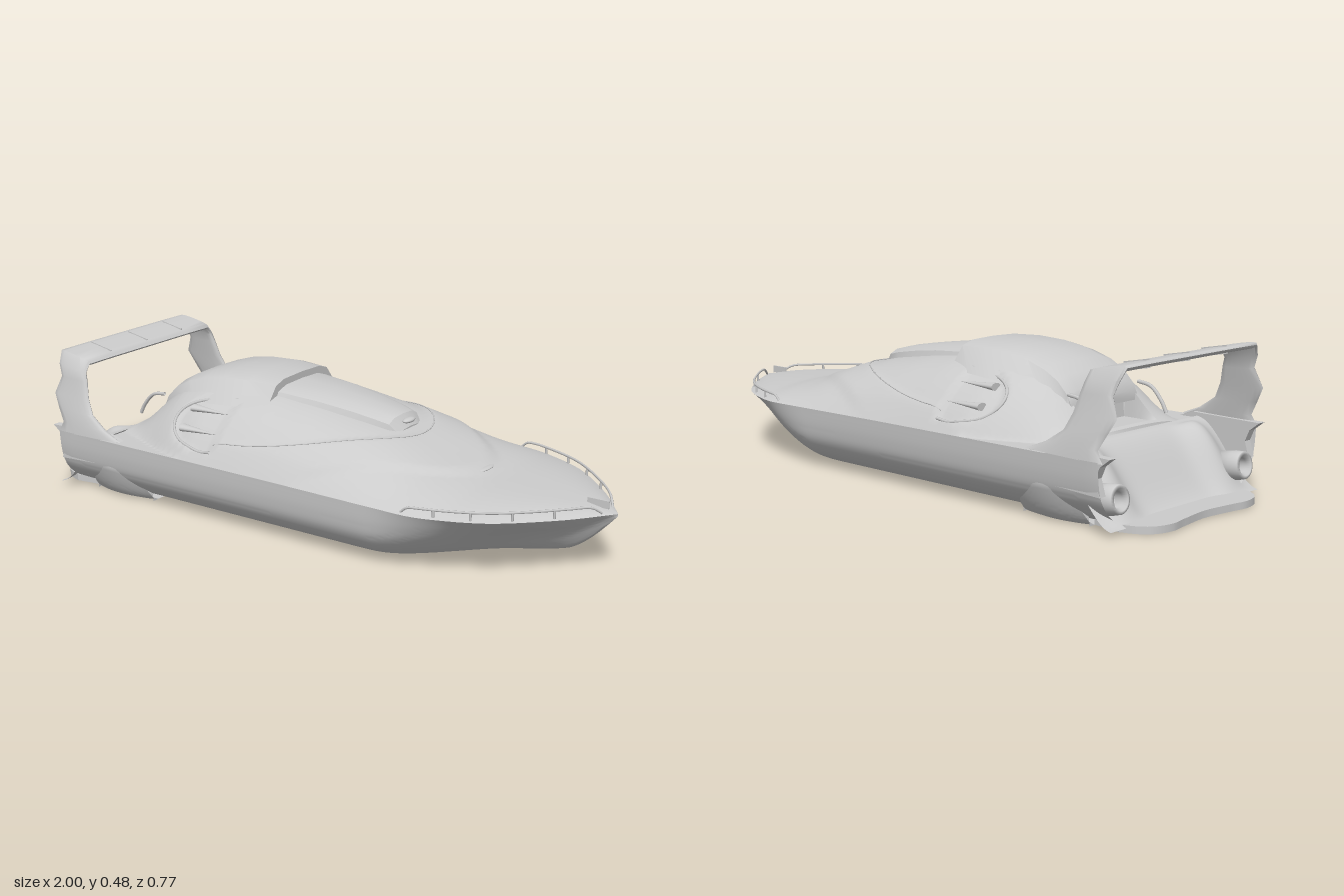
import * as THREE from 'three';
import { toCreasedNormals } from 'three/addons/utils/BufferGeometryUtils.js';

const mat = new THREE.MeshStandardMaterial({ color: 0xcccccc, side: THREE.DoubleSide });
const V = (x, y, z) => new THREE.Vector3(x, y, z);
const P = p => new THREE.Vector2(...p);
const { lerp, smoothstep } = THREE.MathUtils;

// Lightly smoothed interpolation through [x, value] pairs (x ascending)
function curve(pts) {
  const f = x => {
    if (x <= pts[0][0]) return pts[0][1];
    for (let i = 1; i < pts.length; i++) {
      const [a, b] = [pts[i - 1], pts[i]];
      if (x <= b[0]) return lerp(a[1], b[1], (x - a[0]) / (b[0] - a[0]));
    }
    return pts[pts.length - 1][1];
  };
  return x => {
    const e = Math.min(0.03, Math.max(0, 1 - x));
    return (f(x - e) + 2 * f(x) + f(x + e)) / 4;
  };
}

// Surface from a rule (u, v in 0..1) -> point
function grid(fn, nu, nv, crease = 0.6) {
  const pos = [], idx = [];
  for (let i = 0; i <= nu; i++) for (let j = 0; j <= nv; j++) pos.push(...fn(i / nu, j / nv).toArray());
  for (let i = 0; i < nu; i++) for (let j = 0; j < nv; j++) {
    const a = i * (nv + 1) + j, b = a + nv + 1;
    idx.push(a, b, a + 1, b, b + 1, a + 1);
  }
  const g = new THREE.BufferGeometry();
  g.setAttribute('position', new THREE.Float32BufferAttribute(pos, 3));
  g.setIndex(idx);
  return toCreasedNormals(g, crease);
}

// Closed loft through rings of points, ends capped
function loft(rings, crease = 0.6) {
  const n = rings[0].length;
  const mid = r => r.reduce((s, p) => s.add(p), V(0, 0, 0)).divideScalar(n);
  const cap = r => r.map(() => mid(r));
  const all = [cap(rings[0]), ...rings, cap(rings[rings.length - 1])];
  return grid((u, v) => all[Math.round(u * (all.length - 1))][Math.round(v * n) % n], all.length - 1, n, crease);
}

// Lines of the boat along its length (bow at +x)
const width = curve([[-0.93, 0.375], [-0.88, 0.383], [0.3, 0.385], [0.5, 0.385], [0.55, 0.376], [0.65, 0.338], [0.73, 0.296], [0.8, 0.237], [0.9, 0.135], [0.95, 0.07], [1, 0]]);
const keel = curve([[0.3, 0], [0.4, 0.003], [0.6, 0.013], [0.75, 0.03], [0.85, 0.052], [0.9, 0.085], [0.95, 0.132], [1, 0.188]]);
const sheer = curve([[-0.9, 0.21], [0, 0.206], [1, 0.195]]);
const crown = curve([[-0.7, 0.22], [-0.65, 0.265], [-0.58, 0.34], [-0.5, 0.395], [-0.4, 0.413], [-0.15, 0.405], [0, 0.385], [0.2, 0.35], [0.3, 0.325], [0.45, 0.272], [0.6, 0.238], [0.8, 0.224], [0.9, 0.214], [1, 0.195]]);
const cabinWidth = curve([[-0.7, 0.26], [-0.6, 0.3], [-0.45, 0.36], [-0.35, 0.385]]);

// Height of the deck and cabin skin, with recessed glazing and the cockpit opening
function deckY(x, z) {
  const a = Math.abs(z), s = sheer(x), w = Math.min(width(x), cabinWidth(x));
  const k = w < 1e-4 ? 0 : Math.max(0, 1 - Math.pow(a / w, 2.9));
  let y = s + (crown(x) - s) * k;
  const ridge = 0.57 - 0.37 * (a / 0.33) ** 2;
  y += 0.01 * smoothstep(ridge - x, -0.02, 0.05) * Math.min(1, k * 3) * smoothstep(x, -0.5, -0.2);
  const pane = (Math.max(0, x + 0.25) / 0.58) ** 2 + (a / 0.34) ** 2;
  y -= 0.007 * (1 - smoothstep(pane, 0.9, 1.04)) * smoothstep(x, -0.26, -0.23);
  const window = ((x + 0.29) / 0.16) ** 2 + ((a - 0.28) / 0.085) ** 2;
  y -= 0.014 * (1 - smoothstep(window, 0.75, 1.05)) * (1 - smoothstep(x, -0.26, -0.23));
  if (x < -0.57 && x > -0.69 && a < 0.145) y = Math.min(y, 0.225);
  return y;
}

// Hull cross-sections: rounded bilge amidships, hollow flare at the bow
const FULL = [[0, 0], [0.3, 0], [0.54, 0.005], [0.72, 0.08], [0.86, 0.24], [0.95, 0.46], [0.985, 0.7], [1, 1]];
const FLARE = [[0, 0], [0.1, 0.06], [0.2, 0.2], [0.33, 0.4], [0.49, 0.58], [0.67, 0.73], [0.84, 0.87], [1, 1]];
function hullPoint(u, v) {
  const x = lerp(-0.89, 1, u), side = v < 0.5 ? -1 : 1, t = smoothstep(x, 0.33, 0.85);
  const sec = new THREE.SplineCurve(FULL.map((p, i) => new THREE.Vector2(lerp(p[0], FLARE[i][0], t), lerp(p[1], FLARE[i][1], t))));
  const p = sec.getPoint(Math.abs(v - 0.5) * 2);
  return V(x, Math.max(0, lerp(keel(x), sheer(x), p.y)), side * width(x) * Math.min(p.x, 1));
}

// Side pod: half-round in profile, with a rounded lower edge
function podPoint(u, v) {
  const d = -Math.cos(Math.PI * u), top = 0.135 * Math.sqrt(Math.max(0, 1 - d * d)), y = top * v;
  return V(-0.673 + 0.125 * d, y, 0.3 + 0.072 * Math.pow(Math.min(1, y / 0.11), 0.5) - 0.025 * d * d);
}

export function createModel() {
  const boat = new THREE.Group();
  boat.name = 'speedboat';
  const add = (name, geo, x = 0, y = 0, z = 0) => {
    const m = new THREE.Mesh(geo, mat);
    m.name = name;
    m.position.set(x, y, z);
    boat.add(m);
    return m;
  };
  const tube = (name, pts, r) => add(name, new THREE.TubeGeometry(new THREE.CatmullRomCurve3(pts), pts.length * 4, r, 6));
  const blob = (name, x, y, z, a, b, c) => add(name, new THREE.SphereGeometry(1, 24, 14), x, y, z).scale.set(a, b, c);

  add('hull', grid(hullPoint, 140, 80));
  add('deckAndCabin', grid((u, v) => {
    const x = lerp(-0.7, 1, u), z = (v * 2 - 1) * width(x);
    return V(x, deckY(x, z), z);
  }, 170, 84));

  // Raised canopy and aft roof: rows of x, top y, half top, half bottom, bottom y
  const hood = rows => loft(rows.map(([x, t, a, b, l]) => [
    V(x, l, -b), V(x, t - 0.014, -a - 0.016), V(x, t, -a * 0.78), V(x, t + 0.003, 0), V(x, t, a * 0.78), V(x, t - 0.014, a + 0.016), V(x, l, b)]), 0.5);
  add('canopy', hood([[-0.16, 0.424, 0.115, 0.16, 0.36], [0, 0.412, 0.1, 0.14, 0.34], [0.12, 0.396, 0.085, 0.12, 0.33], [0.2, 0.382, 0.075, 0.105, 0.32], [0.25, 0.37, 0.065, 0.09, 0.31], [0.28, 0.335, 0.05, 0.07, 0.3]]));
  add('aftRoof', hood([[-0.145, 0.445, 0.125, 0.185, 0.375], [-0.25, 0.449, 0.135, 0.225, 0.365], [-0.35, 0.444, 0.137, 0.23, 0.358], [-0.43, 0.431, 0.137, 0.215, 0.356], [-0.5, 0.409, 0.14, 0.19, 0.35], [-0.55, 0.382, 0.14, 0.175, 0.325], [-0.59, 0.342, 0.14, 0.165, 0.29], [-0.605, 0.31, 0.14, 0.155, 0.28]]));
  blob('noseVent', 0.272, 0.355, 0, 0.015, 0.008, 0.03);
  blob('foredeckVent', 0.555, 0.25, 0, 0.014, 0.005, 0.04);

  // Sculpted stern sloping from the cabin down to the swim platform
  add('sternSlope', grid((u, v) => {
    const x = lerp(-0.92, -0.695, u), a = Math.abs(v * 2 - 1) * 0.355;
    const hump = Math.exp(-(((a - 0.25) / 0.06) ** 2)) * Math.sin(Math.PI * Math.min(1, u * 1.1)) * 0.06;
    return V(x, lerp(0.015, 0.215, smoothstep(u, 0, 1)) + hump, (v * 2 - 1) * 0.355);
  }, 24, 60));
  const plat = new THREE.Shape();
  plat.moveTo(-0.8, -0.28);
  plat.lineTo(-0.9, -0.295);
  plat.splineThru([[-0.95, -0.275], [-0.985, -0.24], [-1, -0.18], [-0.99, -0.11], [-0.978, 0], [-0.99, 0.11], [-1, 0.18], [-0.985, 0.24], [-0.95, 0.275], [-0.9, 0.295]].map(P));
  plat.lineTo(-0.8, 0.28);
  const platGeo = new THREE.ExtrudeGeometry(plat, { depth: 0.022, bevelEnabled: false, curveSegments: 32 });
  add('swimPlatform', platGeo.rotateX(Math.PI / 2), 0, 0.024, 0);

  // Arch across the stern: trailing edge, leading edge, outward direction, thickness
  const half = [
    [V(-0.9, 0.205, 0.372), V(-0.62, 0.212, 0.372), V(0, 0.1, 1), 0.012],
    [V(-0.88, 0.24, 0.368), V(-0.69, 0.24, 0.366), V(0, 0.2, 1), 0.013],
    [V(-0.905, 0.285, 0.36), V(-0.75, 0.28, 0.36), V(0, 0.2, 1), 0.012],
    [V(-0.93, 0.33, 0.35), V(-0.775, 0.33, 0.35), V(0, 0.2, 1), 0.011],
    [V(-0.905, 0.39, 0.337), V(-0.79, 0.385, 0.338), V(0, 0.2, 1), 0.011],
    [V(-0.92, 0.43, 0.33), V(-0.8, 0.415, 0.332), V(0, 0.3, 1), 0.012],
    [V(-0.93, 0.466, 0.31), V(-0.8, 0.441, 0.312), V(0, 1, 0.4), 0.012],
    [V(-0.93, 0.467, 0.2), V(-0.8, 0.442, 0.2), V(0, 1, 0), 0.011]];
  const flip = p => V(p.x, p.y, -p.z);
  const path = [...half, ...half.slice().reverse().map(([a, b, n, t]) => [flip(a), flip(b), flip(n), t])];
  add('sternArch', loft(path.map(([a, b, n, t]) => Array.from({ length: 16 }, (_, i) => {
    const q = i / 16 * Math.PI * 2;
    return a.clone().lerp(b, 0.5 - 0.5 * Math.cos(q)).addScaledVector(n.clone().normalize(), t * Math.sign(Math.sin(q)) * Math.sqrt(Math.abs(Math.sin(q))));
  })), 0.9));
  for (const z of [-0.185, 0, 0.185]) add('archRib', new THREE.BoxGeometry(0.09, 0.026, 0.004), -0.865, 0.455, z).rotation.z = -0.19;

  // Aft bulwark and jet nozzle shapes
  const bul = new THREE.Shape([[-0.925, 0.222], [-0.68, 0.226], [-0.62, 0.205], [-0.69, 0.12], [-0.89, 0.11], [-0.875, 0.16], [-0.89, 0.195]].map(P));
  const bulGeo = new THREE.ExtrudeGeometry(bul, { depth: 0.028, bevelEnabled: false });
  const nozzleGeo = new THREE.LatheGeometry([[0.03, -0.02], [0.024, 0.03], [0.032, 0.045], [0.042, 0.042], [0.046, 0.01], [0.044, -0.06], [0, -0.06]].map(P), 24).rotateZ(Math.PI / 2);

  for (const s of [1, -1]) {
    const onDeck = (x, z) => V(x, deckY(x, z) + 0.001, s * z);
    add('bulwark', bulGeo, 0, 0, s > 0 ? 0.344 : -0.372);
    add('sidePod', grid((u, v) => {
      const p = podPoint(u, Math.min(1, v * 1.5));
      // Last third of the rows folds under the hull from the lower and upper rims
      return v > 0.67 ? V(p.x, p.y, s * lerp(p.z, 0.3, (v - 0.67) * 3)) : V(p.x, p.y, s * p.z);
    }, 32, 24));
    add('podBase', grid((u, v) => {
      const p = podPoint(u, 0);
      return V(p.x, 0.001, s * lerp(0.2, p.z, v));
    }, 32, 2));
    add('jetNozzle', nozzleGeo, -0.865, 0.09, s * 0.3).rotation.z = -0.15;
    tube('cockpitHandrail', [V(-0.71, 0.25, s * 0.165), V(-0.69, 0.285, s * 0.165), V(-0.65, 0.325, s * 0.165), V(-0.6, 0.335, s * 0.165)], 0.006);

    // Side window with a rounded aft rim and pointed fins
    tube('windowRim', Array.from({ length: 15 }, (_, i) => {
      const q = Math.PI * i / 14;
      return onDeck(-0.25 - 0.2 * Math.sin(q), 0.28 + 0.08 * Math.cos(q));
    }), 0.005);
    for (const z of [0.255, 0.315]) {
      const p = onDeck(-0.32, z);
      add('windowFin', new THREE.ConeGeometry(0.02, 0.15, 16).rotateZ(-Math.PI / 2), p.x, p.y + 0.002, p.z).scale.y = 0.6;
    }
    tube('windscreenTrim', Array.from({ length: 24 }, (_, i) => {
      const q = Math.PI / 2 * i / 23;
      return onDeck(-0.25 + 0.58 * Math.cos(q), 0.34 * Math.sin(q));
    }), 0.002);

    // Bow rail with posts
    const rail = (x, y) => V(x, y, s * (width(x) - 0.012));
    const pts = [rail(0.48, 0.205), rail(0.5, 0.222)];
    for (let x = 0.54; x < 0.94; x += 0.04) pts.push(rail(x, 0.226));
    pts.push(rail(0.945, 0.222), rail(0.965, 0.202));
    tube('bowRail', pts, 0.004);
    for (const x of [0.58, 0.68, 0.78, 0.87]) {
      const p = rail(x, 0.213);
      add('railPost', new THREE.CylinderGeometry(0.004, 0.004, 0.026, 6), p.x, p.y, p.z);
    }
  }
  add('bowFin', new THREE.BoxGeometry(0.07, 0.024, 0.005), 0.935, 0.216, 0);
  return boat;
}
